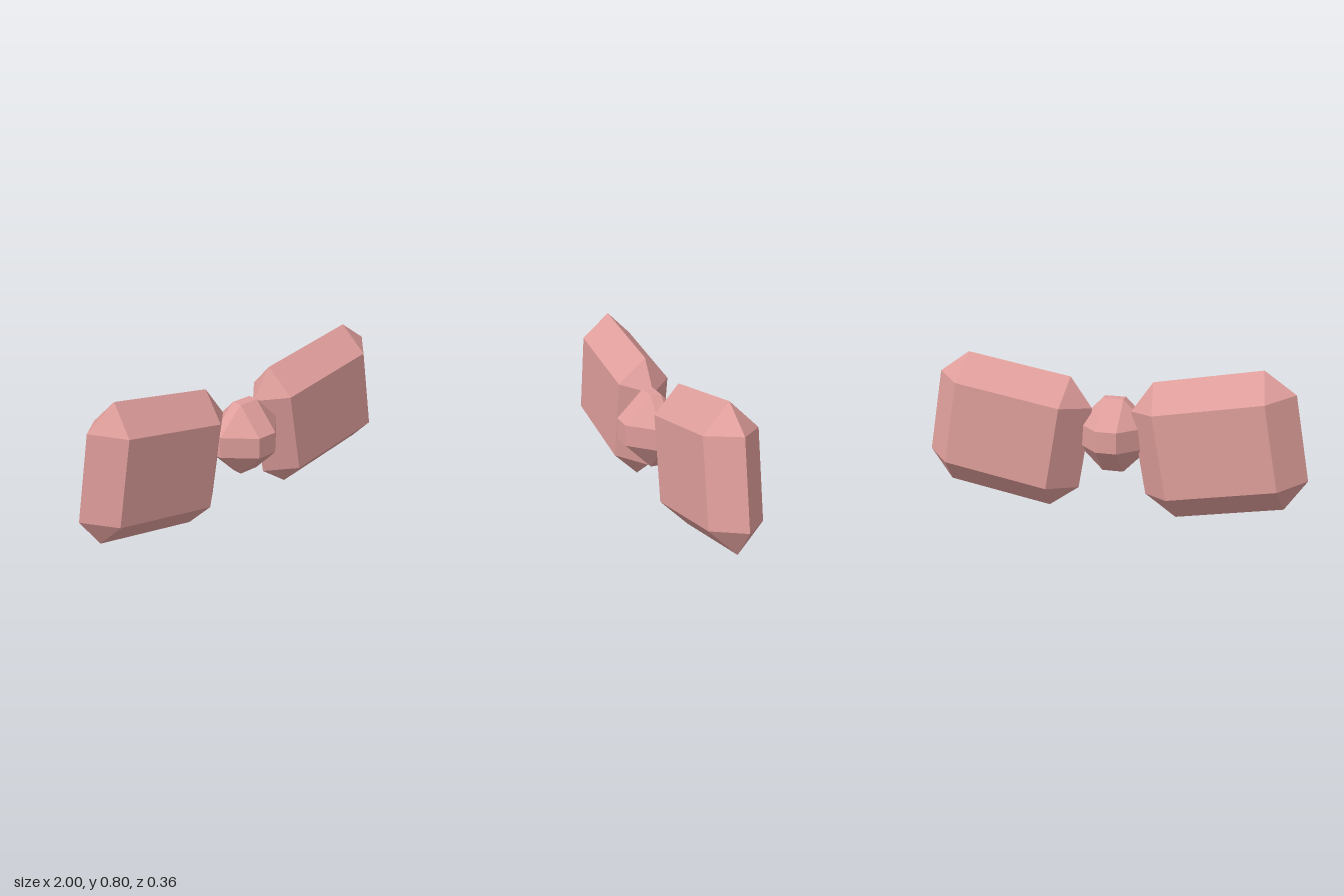
import * as THREE from 'three';
import { ConvexGeometry } from 'three/addons/geometries/ConvexGeometry.js';

const BEVEL = 0.138;

// Box core of half sizes a, b, c whose faces are each pushed out by the bevel
function chamferedBlock(a, b, c) {
  const points = [];
  for (const sx of [-1, 1]) for (const sy of [-1, 1]) for (const sz of c > 0 ? [-1, 1] : [0]) {
    points.push(new THREE.Vector3(sx * (a + BEVEL), sy * b, sz * c));
    points.push(new THREE.Vector3(sx * a, sy * (b + BEVEL), sz * c));
    for (const side of sz === 0 ? [-1, 1] : [sz]) {
      points.push(new THREE.Vector3(sx * a, sy * b, side * (c + BEVEL)));
    }
  }
  return new ConvexGeometry(points);
}

export function createModel() {
  const group = new THREE.Group();
  const pink = new THREE.MeshStandardMaterial({ color: 0xdf9e9b, flatShading: true });
  pink.name = 'dusty pink';

  // Two tilted wings, mirrored left and right
  const wingGeometry = chamferedBlock(0.2785, 0.2195, 0);
  for (const side of [1, -1]) {
    const wing = new THREE.Mesh(wingGeometry, pink);
    wing.name = side > 0 ? 'leftWing' : 'rightWing';
    wing.position.set(side * 0.5505, 0.403, -0.04);
    wing.rotation.z = side * THREE.MathUtils.degToRad(10);
    group.add(wing);
  }

  // Centre knot
  const knot = new THREE.Mesh(chamferedBlock(0.055, 0.055, 0.028), pink);
  knot.name = 'knot';
  knot.position.set(0, 0.406, 0.012);
  group.add(knot);

  return group;
}
